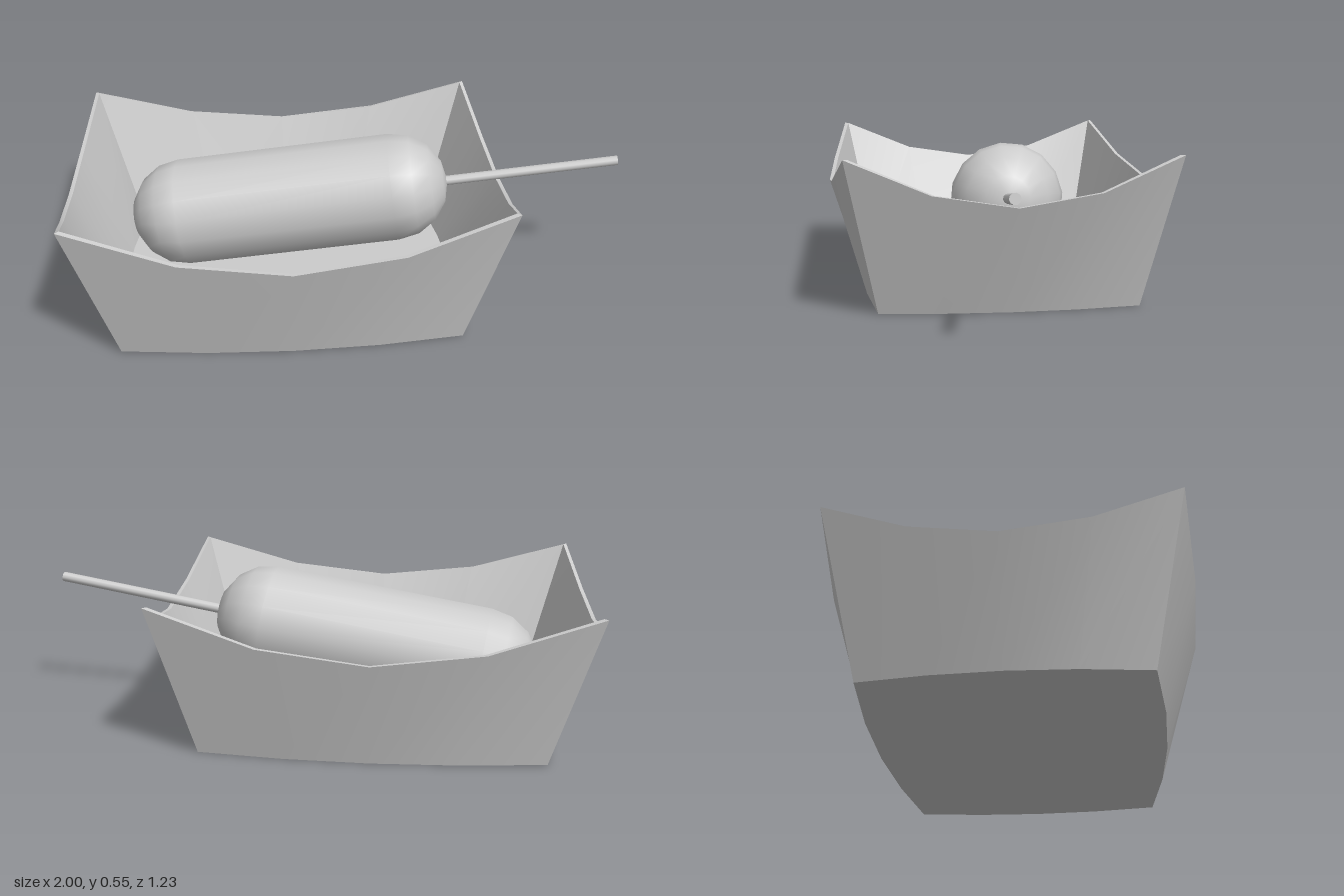
import * as THREE from 'three';
import { toCreasedNormals } from 'three/addons/utils/BufferGeometryUtils.js';

const material = new THREE.MeshStandardMaterial({ color: 0xcccccc });

// Bowed rectangular ring: corner and mid-side half-sizes, heights at corner, quarter and middle
function ring(cornerX, cornerZ, midX, midZ, heights) {
  const points = [];
  for (let side = 0; side < 4; side++) {
    for (let i = 0; i < 4; i++) {
      const t = i / 2 - 1;
      const alongX = side % 2 === 0;
      const sign = side < 2 ? 1 : -1;
      const half = alongX ? cornerX : cornerZ;
      const mid = alongX ? midZ : midX;
      const corner = alongX ? cornerZ : cornerX;
      const out = sign * (mid + (corner - mid) * t * t);
      const along = sign * half * t;
      const y = heights[2 - Math.abs(2 - i)];
      points.push(alongX ? [along, y, out] : [out, y, -along]);
    }
  }
  return points;
}

// Skin over consecutive rings; the first and last close in a point
function loft(rings) {
  const pos = [];
  for (let k = 0; k < rings.length - 1; k++) {
    const lo = rings[k], hi = rings[k + 1], n = lo.length;
    for (let i = 0; i < n; i++) {
      const j = (i + 1) % n;
      if (k > 0) pos.push(...lo[i], ...lo[j], ...hi[j]);
      if (k < rings.length - 2) {
        if (k === 0) pos.push(...lo[i], ...hi[j], ...hi[i]);
        else pos.push(...lo[i], ...hi[j], ...hi[i]);
      }
    }
  }
  const geometry = new THREE.BufferGeometry();
  geometry.setAttribute('position', new THREE.Float32BufferAttribute(pos, 3));
  return toCreasedNormals(geometry, 0.5);
}

// Place a geometry modelled along y so that it runs from one point to another
function along(geometry, from, to, name) {
  const mesh = new THREE.Mesh(geometry, material);
  mesh.name = name;
  mesh.position.copy(from).add(to).multiplyScalar(0.5);
  mesh.quaternion.setFromUnitVectors(new THREE.Vector3(0, 1, 0), to.clone().sub(from).normalize());
  return mesh;
}

export function createModel() {
  const group = new THREE.Group();
  group.name = 'snackInTray';

  // Thin-walled tray with flared, dipping sides
  const rim = [0.54, 0.425, 0.382];
  const floorY = 0.012;
  const tray = new THREE.Mesh(loft([
    ring(0, 0, 0, 0, [0, 0, 0]),
    ring(0.595, 0.453, 0.633, 0.497, [0, 0, 0]),
    ring(0.74, 0.56, 0.79, 0.617, rim),
    ring(0.727, 0.546, 0.776, 0.603, rim),
    ring(0.579, 0.438, 0.617, 0.483, [floorY, floorY, floorY]),
    ring(0, 0, 0, 0, [floorY, floorY, floorY]),
  ]), material);
  tray.name = 'tray';
  tray.position.x = -0.21;
  group.add(tray);

  // Rounded body leaning on the tray, with its stick on the same axis
  const low = new THREE.Vector3(-0.59, 0.238, -0.097);
  const high = new THREE.Vector3(0.187, 0.355, -0.012);
  const tip = new THREE.Vector3(0.995, 0.477, 0.076);
  const body = new THREE.CapsuleGeometry(0.2, low.distanceTo(high), 4, 16);
  group.add(along(body, low, high, 'body'));
  const stick = new THREE.CylinderGeometry(0.018, 0.018, high.distanceTo(tip), 10);
  group.add(along(stick, high, tip, 'stick'));

  return group;
}
